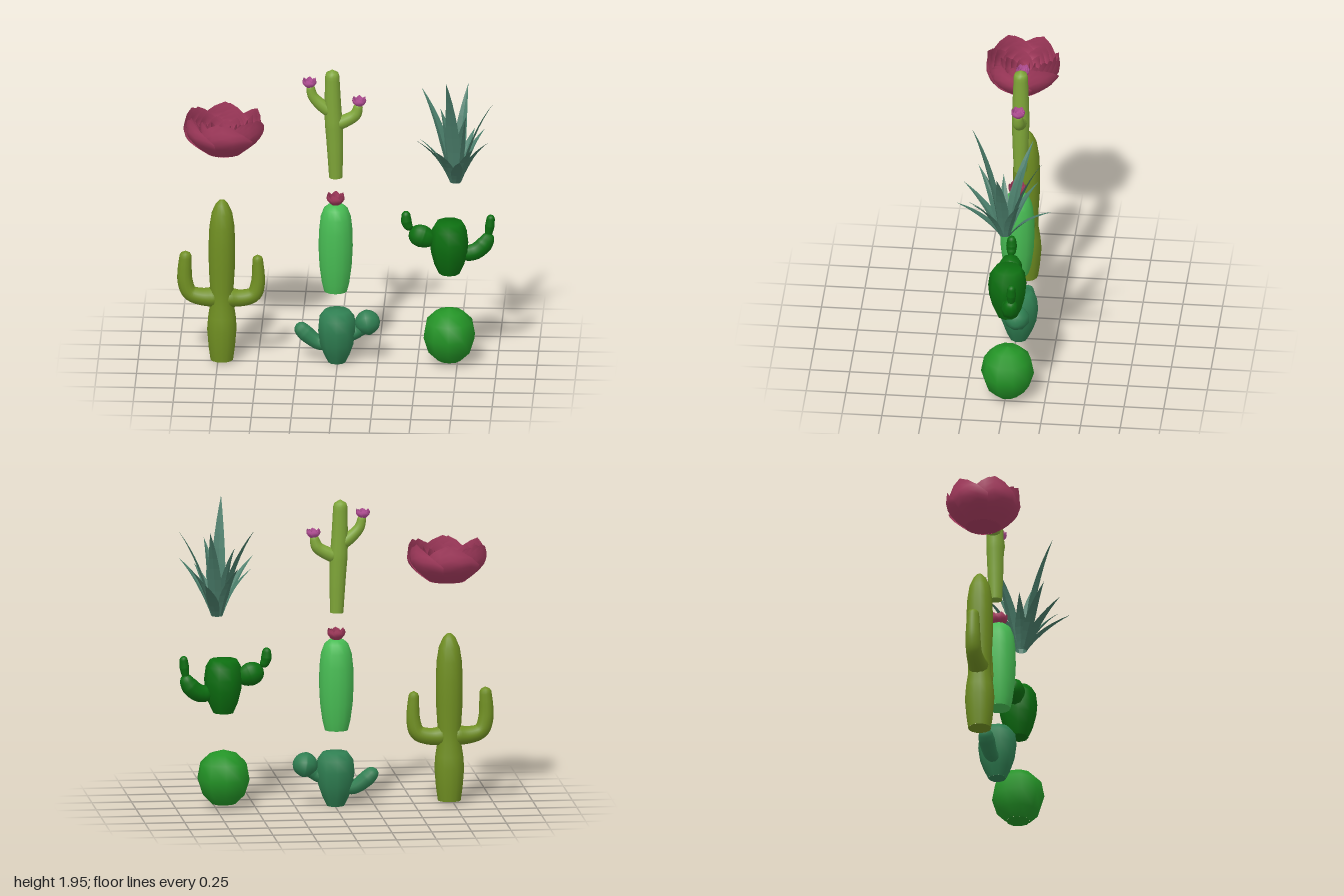
import * as THREE from 'three';
import { mergeVertices } from 'three/addons/utils/BufferGeometryUtils.js';

const mat = (name, color, extra = {}) => Object.assign(new THREE.MeshStandardMaterial({ color, ...extra }), { name });
const V = (p) => new THREE.Vector3(...p);

export function createModel() {
  const root = new THREE.Group();
  root.name = 'succulentCollection';
  const M = {
    rose: mat('rosePetal', 0xa83c60, { side: THREE.DoubleSide }),
    pink: mat('pinkPetal', 0xbf55a0, { side: THREE.DoubleSide }),
    agave: mat('agaveLeaf', 0x4a7d6a, { side: THREE.DoubleSide, flatShading: true }),
    slender: mat('limeSkin', 0x7fa638),
    tall: mat('oliveSkin', 0x708f22),
    column: mat('brightSkin', 0x48bd54),
    pads: mat('deepGreenSkin', 0x0c6e10),
    teal: mat('tealSkin', 0x2f7f52),
    ball: mat('ballSkin', 0x239326),
  };
  const group = (name, x = 0, y = 0, z = 0) => {
    const g = new THREE.Group();
    g.name = name;
    g.position.set(x, y, z);
    root.add(g);
    return g;
  };
  const add = (parent, name, geo, m) => {
    const mesh = new THREE.Mesh(geo, m);
    mesh.name = name;
    parent.add(mesh);
    return mesh;
  };

  // Turned body with a closed flat base
  const body = (g, name, profile, sides, m) => {
    add(g, name, new THREE.LatheGeometry(profile.map((p) => new THREE.Vector2(...p)), sides), m);
    base(g, profile[0][0], 0, profile[0][1], 0, sides, m);
  };
  const base = (g, r, x, y, z, sides, m) =>
    add(g, 'base', new THREE.CircleGeometry(r, sides).rotateX(Math.PI / 2), m).position.set(x, y, z);

  // Swept limb: radii spread along the path, with rounded ends
  const limb = (g, name, path, radii, m, sides = 12, flatStart = false) => {
    const curve = new THREE.CatmullRomCurve3(path.map(V));
    const n = 32, len = curve.getLength();
    const geo = new THREE.TubeGeometry(curve, n, 1, sides);
    const pos = geo.attributes.position, v = new THREE.Vector3();
    const dome = (s, r) => (s < r ? Math.sqrt(Math.max(0, 1 - (1 - s / r) ** 2)) : 1);
    for (let i = 0; i <= n; i++) {
      const t = i / n, c = curve.getPointAt(t);
      const f = t * (radii.length - 1), k = Math.min(Math.floor(f), radii.length - 2);
      let r = THREE.MathUtils.lerp(radii[k], radii[k + 1], f - k);
      r *= dome((1 - t) * len, r) * (flatStart ? 1 : dome(t * len, r));
      for (let j = 0; j <= sides; j++) {
        const q = i * (sides + 1) + j;
        v.fromBufferAttribute(pos, q).sub(c).multiplyScalar(r).add(c);
        pos.setXYZ(q, v.x, v.y, v.z);
      }
    }
    geo.deleteAttribute('uv');
    geo.deleteAttribute('normal');
    const smooth = mergeVertices(geo, 1e-5);
    smooth.computeVertexNormals();
    return add(g, name, smooth, m);
  };

  // Cupped pointed petal, a patch of a bowl
  const petal = (R, H, half, y0) => {
    const geo = new THREE.PlaneGeometry(1, 1, 6, 6), pos = geo.attributes.position;
    for (let i = 0; i < pos.count; i++) {
      const u = pos.getX(i) * 2, v = pos.getY(i) + 0.5;
      const h = v * (1 - 0.5 * Math.abs(u) ** 1.4);
      const r = R * (0.46 + 0.54 * Math.sin(Math.min(h * 2.5, 1.9))) * (1 + 0.05 * u);
      pos.setXYZ(i, r * Math.sin(u * half), y0 + H * h, r * Math.cos(u * half));
    }
    geo.computeVertexNormals();
    return geo;
  };
  // Layers: [radius, height, petal count, half angle, base height]
  const blossom = (g, layers, m) => layers.forEach(([R, H, n, half, y0], k) => {
    for (let i = 0; i < n; i++) {
      add(g, 'petal', petal(R, H, half, y0), m).rotation.y = (i / n) * Math.PI * 2 + k * 0.9;
    }
  });
  const smallFlower = (parent, name, x, y, z, s, m) => {
    const g = new THREE.Group();
    g.name = name;
    g.position.set(x, y, z);
    g.scale.setScalar(s);
    blossom(g, [[1, 1.3, 6, 0.7, 0], [0.75, 1.25, 5, 0.8, 0], [0.45, 1.1, 4, 0.9, 0.05]], m);
    add(g, 'flowerBase', new THREE.CircleGeometry(0.47, 12).rotateX(Math.PI / 2), m);
    parent.add(g);
  };

  // Large rosette
  const rose = group('rosette', -0.712, 1.41, 0.025);
  rose.scale.set(1.03, 1, 0.97);
  blossom(rose, [
    [0.238, 0.25, 6, 0.85, 0], [0.215, 0.24, 6, 0.75, 0.01], [0.185, 0.21, 6, 0.75, 0.02],
    [0.15, 0.19, 5, 0.8, 0.03], [0.115, 0.17, 5, 0.8, 0.03], [0.08, 0.15, 4, 0.9, 0.04],
    [0.045, 0.14, 3, 1.1, 0.04], [0.02, 0.13, 2, 1.5, 0.04],
  ], M.rose);
  base(rose, 0.115, 0, 0.001, 0, 20, M.rose);

  // Slender branching cactus with pink flowers
  const slender = group('slenderCactus', 0, 0, -0.025);
  limb(slender, 'trunk', [[-0.012, 1.23, 0], [-0.018, 1.45, 0], [-0.03, 1.7, 0], [-0.035, 1.95, 0]],
    [0.042, 0.05, 0.056, 0.05, 0.043], M.slender, 12, true);
  base(slender, 0.042, -0.012, 1.231, 0, 12, M.slender);
  limb(slender, 'rightArm', [[-0.03, 1.66, 0], [-0.1, 1.71, 0], [-0.155, 1.77, 0], [-0.175, 1.85, 0]],
    [0.045, 0.04, 0.033, 0.025], M.slender);
  limb(slender, 'leftArm', [[-0.02, 1.58, 0], [0.05, 1.61, 0], [0.11, 1.65, 0], [0.135, 1.73, 0]],
    [0.045, 0.042, 0.037, 0.025], M.slender);
  smallFlower(slender, 'rightFlower', -0.177, 1.83, 0, 0.043, M.pink);
  smallFlower(slender, 'leftFlower', 0.135, 1.71, 0, 0.043, M.pink);

  // Agave: folded tapering leaves bending out from one crown
  const agave = group('agave', 0.74, 1.22, 0);
  const leaf = (tx, ty, tz, w) => {
    const a = Math.atan2(tz, tx), c = Math.cos(a), s = Math.sin(a), r = Math.hypot(tx, tz);
    const curve = new THREE.QuadraticBezierCurve3(V([c * 0.035, 0, s * 0.035]),
      V([c * r * 0.42, ty * 0.62, s * r * 0.42]), V([tx, ty, tz]));
    const n = 8, pts = [], idx = [];
    for (let i = 0; i <= n; i++) {
      const t = i / n, p = curve.getPoint(t);
      const h = w * (t < 0.35 ? 0.6 + 0.4 * (t / 0.35) : 1 - ((t - 0.35) / 0.65) ** 1.3);
      const fold = h * 0.35;
      pts.push(p.x - s * h - c * fold, p.y, p.z + c * h - s * fold, p.x, p.y, p.z,
        p.x + s * h - c * fold, p.y, p.z - c * h - s * fold);
      if (i < n) for (const k of [i * 3, i * 3 + 1]) idx.push(k, k + 3, k + 1, k + 1, k + 3, k + 4);
    }
    const geo = new THREE.BufferGeometry();
    geo.setAttribute('position', new THREE.Float32BufferAttribute(pts, 3));
    geo.setIndex(idx);
    geo.computeVertexNormals();
    add(agave, 'leaf', geo, M.agave);
  };
  // Tip positions and half widths
  [
    [-0.05, 0.73, 0.21, 0.045], [0.24, 0.54, 0.03, 0.04], [-0.22, 0.57, -0.16, 0.042], [0.07, 0.57, -0.24, 0.042],
    [0.07, 0.48, 0.12, 0.04], [-0.1, 0.45, -0.11, 0.04],
    [0.11, 0.25, -0.305, 0.038], [0.18, 0.32, -0.11, 0.036], [0.22, 0.34, 0.19, 0.036], [0.035, 0.24, 0.305, 0.038],
    [-0.12, 0.3, 0.27, 0.036], [-0.25, 0.35, 0.19, 0.036], [-0.23, 0.3, 0.03, 0.036], [0.12, 0.3, 0.22, 0.036],
    [-0.11, 0.33, -0.2, 0.036],
  ].forEach((l) => leaf(...l));

  // Tall two-armed cactus
  const tall = group('tallCactus', -0.725, 0, 0.005);
  body(tall, 'trunk', [[0.072, 0.015], [0.084, 0.1], [0.094, 0.22], [0.088, 0.3], [0.076, 0.38], [0.074, 0.48],
    [0.083, 0.62], [0.085, 0.78], [0.08, 0.9], [0.066, 0.99], [0.04, 1.05], [0.018, 1.075], [0, 1.08]], 14, M.tall);
  limb(tall, 'rightArm', [[0, 0.43, 0], [-0.13, 0.43, 0], [-0.2, 0.455, 0], [-0.23, 0.53, 0], [-0.227, 0.735, 0]],
    [0.075, 0.058, 0.05, 0.048, 0.043, 0.035], M.tall);
  limb(tall, 'leftArm', [[0, 0.43, 0], [0.13, 0.425, 0], [0.2, 0.45, 0], [0.225, 0.52, 0], [0.224, 0.715, 0]],
    [0.075, 0.055, 0.05, 0.044, 0.038, 0.03], M.tall);

  // Smooth column with a flower on top
  const column = group('columnCactus', -0.012, 0, -0.005);
  body(column, 'trunk', [[0.073, 0.48], [0.088, 0.54], [0.103, 0.65], [0.109, 0.77], [0.107, 0.88], [0.097, 0.97],
    [0.075, 1.03], [0.045, 1.055], [0, 1.06]], 14, M.column);
  smallFlower(column, 'topFlower', 0, 1.055, 0, 0.055, M.rose);

  // Deep green cactus with small pads
  const pads = group('paddedCactus', 0.7, 0, -0.012);
  body(pads, 'trunk', [[0.065, 0.605], [0.095, 0.67], [0.116, 0.75], [0.122, 0.82], [0.112, 0.9], [0.085, 0.945],
    [0, 0.95]], 9, M.pads);
  limb(pads, 'rightLobe', [[-0.08, 0.82, 0], [-0.15, 0.84, 0], [-0.25, 0.88, 0]], [0.05, 0.075, 0.07], M.pads, 8);
  limb(pads, 'rightPad', [[-0.24, 0.89, 0], [-0.265, 0.93, 0], [-0.273, 1.015, 0]], [0.025, 0.034, 0.024], M.pads, 8);
  limb(pads, 'leftLobe', [[0.07, 0.73, -0.01], [0.16, 0.74, -0.03], [0.22, 0.79, -0.04], [0.255, 0.86, -0.045]],
    [0.05, 0.056, 0.056, 0.035], M.pads, 8);
  limb(pads, 'leftPad', [[0.24, 0.83, -0.045], [0.25, 0.89, -0.047], [0.26, 0.98, -0.05]], [0.02, 0.03, 0.024], M.pads, 8);

  // Teal cactus with two lobes
  const teal = group('tealCactus', -0.005, 0, -0.015);
  body(teal, 'trunk', [[0.055, 0], [0.085, 0.06], [0.11, 0.13], [0.122, 0.22], [0.115, 0.295], [0.08, 0.342],
    [0, 0.35]], 10, M.teal);
  limb(teal, 'rightLobe', [[-0.06, 0.11, 0], [-0.12, 0.12, -0.02], [-0.19, 0.17, -0.03], [-0.255, 0.235, -0.035]],
    [0.04, 0.046, 0.052, 0.04], M.teal, 9);
  limb(teal, 'leftNeck', [[0.06, 0.18, 0], [0.12, 0.2, 0], [0.19, 0.255, -0.005]], [0.05, 0.042, 0.05], M.teal, 9);
  limb(teal, 'leftLobe', [[0.115, 0.24, -0.005], [0.19, 0.262, -0.005], [0.27, 0.27, -0.005]],
    [0.07, 0.082, 0.07], M.teal, 9);

  // Ball cactus
  const ball = group('ballCactus', 0.7, 0, -0.012);
  body(ball, 'trunk', [[0.075, 0.027], [0.135, 0.085], [0.167, 0.185], [0.148, 0.286], [0.088, 0.345], [0, 0.37]],
    10, M.ball);

  return root;
}
